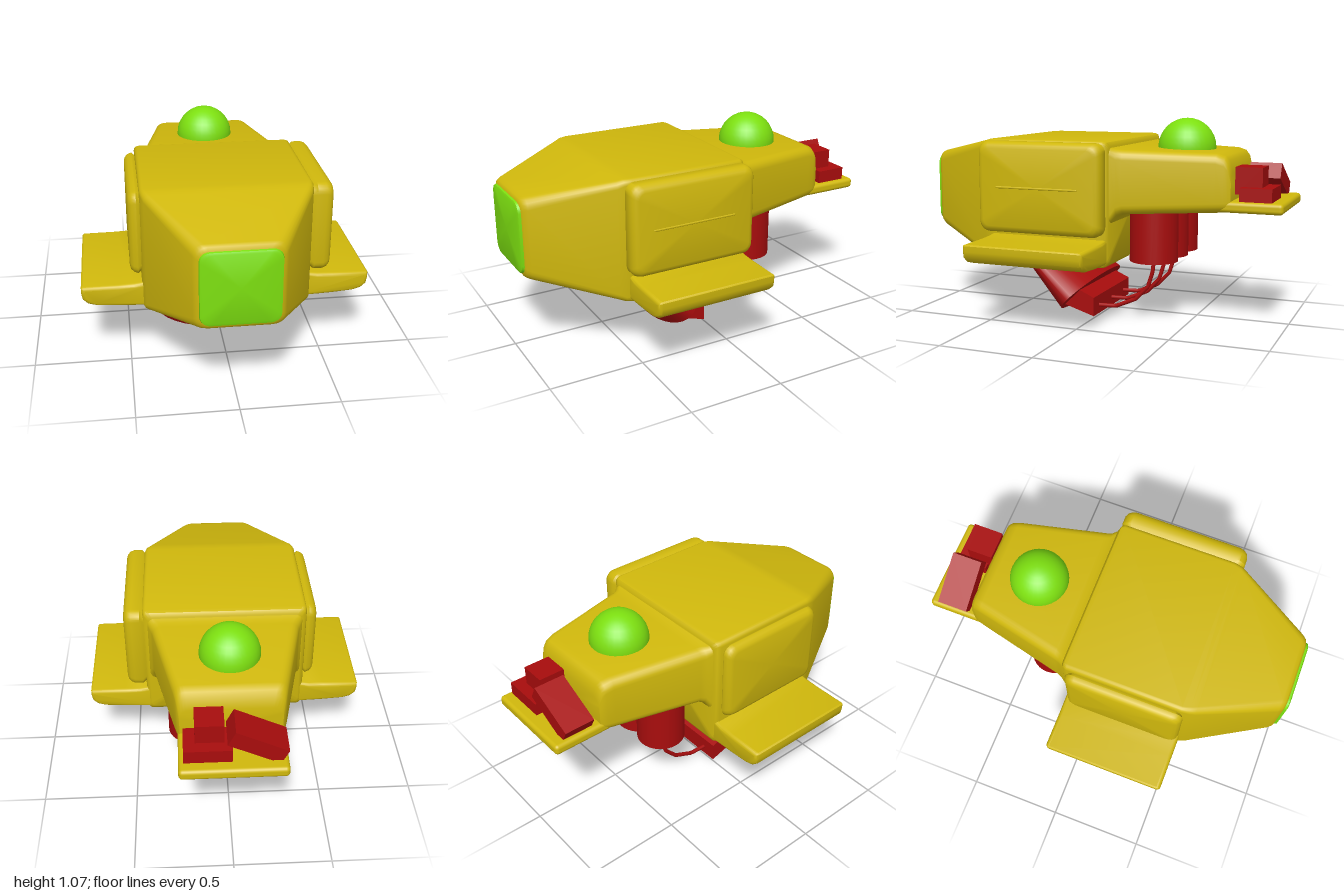
import * as THREE from 'three';
import { toCreasedNormals } from 'three/addons/utils/BufferGeometryUtils.js';
import { RoundedBoxGeometry } from 'three/addons/geometries/RoundedBoxGeometry.js';

const paint = (color) => new THREE.MeshStandardMaterial({ color, side: THREE.DoubleSide });

// Closed hull through rounded-rectangle sections [z, halfWidth, yBottom, yTop, cornerRadius], front to back
function loft(sections, crease = 0.75) {
  const steps = 5, n = 4 * (steps + 1), pos = [], idx = [];
  for (const [z, w, y0, y1, r] of sections) {
    const corners = [[w - r, y1 - r], [r - w, y1 - r], [r - w, y0 + r], [w - r, y0 + r]];
    corners.forEach(([cx, cy], q) => {
      for (let i = 0; i <= steps; i++) {
        const a = (q + i / steps) * Math.PI / 2;
        pos.push(cx + r * Math.cos(a), cy + r * Math.sin(a), z);
      }
    });
  }
  for (let k = 0; k < sections.length - 1; k++) {
    for (let i = 0; i < n; i++) {
      const a = k * n + i, b = k * n + (i + 1) % n;
      idx.push(a, a + n, b, b, a + n, b + n);
    }
  }
  // End caps
  const last = (sections.length - 1) * n, count = sections.length * n;
  for (const s of [sections[0], sections[sections.length - 1]]) pos.push(0, (s[2] + s[3]) / 2, s[0]);
  for (let i = 0; i < n; i++) {
    const j = (i + 1) % n;
    idx.push(count, i, j, count + 1, last + j, last + i);
  }
  const g = new THREE.BufferGeometry();
  g.setAttribute('position', new THREE.Float32BufferAttribute(pos, 3));
  g.setIndex(idx);
  return toCreasedNormals(g, crease);
}

function extrude(points, depth, bevel) {
  const g = new THREE.ExtrudeGeometry(new THREE.Shape(points.map(([x, y]) => new THREE.Vector2(x, y))), {
    depth: depth - 2 * bevel, bevelEnabled: bevel > 0, bevelSize: bevel, bevelOffset: -bevel,
    bevelThickness: bevel, bevelSegments: 4,
  });
  return g.translate(0, 0, bevel);
}

export function createModel() {
  const model = new THREE.Group();
  const yellow = paint(0xd0b80c), red = paint(0xa80d0d), green = paint(0x7de010);
  const add = (name, geometry, material, x = 0, y = 0, z = 0) => {
    const m = new THREE.Mesh(geometry, material);
    m.name = name;
    m.position.set(x, y, z);
    model.add(m);
    return m;
  };

  // Main hull with tapered nose
  add('hull', loft([
    [0.985, 0.185, 0.475, 0.86, 0.05],
    [0.975, 0.205, 0.46, 0.875, 0.055],
    [0.955, 0.22, 0.45, 0.882, 0.055],
    [0.57, 0.412, 0.334, 0.962, 0.035],
    [0.54, 0.423, 0.324, 0.97, 0.03],
    [0.5, 0.43, 0.32, 0.972, 0.025],
    [-0.11, 0.43, 0.32, 0.972, 0.025],
    [-0.13, 0.423, 0.328, 0.966, 0.025],
    [-0.142, 0.405, 0.35, 0.945, 0.025],
  ]), yellow);

  // Tail section, flared where it meets the hull
  add('tail', loft([
    [-0.12, 0.41, 0.53, 0.945, 0.03],
    [-0.15, 0.402, 0.56, 0.935, 0.04],
    [-0.17, 0.39, 0.585, 0.93, 0.05],
    [-0.2, 0.38, 0.595, 0.927, 0.05],
    [-0.66, 0.277, 0.614, 0.915, 0.05],
    [-0.7, 0.267, 0.616, 0.903, 0.05],
    [-0.72, 0.26, 0.617, 0.88, 0.05],
    [-0.735, 0.25, 0.62, 0.82, 0.05],
  ]), yellow);
  add('tailShelf', new RoundedBoxGeometry(0.52, 0.056, 0.33, 4, 0.02), yellow, 0, 0.648, -0.835);

  // Nose window and roof dome
  add('noseWindow', loft([
    [1.0, 0.175, 0.495, 0.845, 0.045],
    [0.995, 0.19, 0.482, 0.855, 0.05],
    [0.97, 0.195, 0.475, 0.86, 0.05],
  ]), green);
  add('roofDome', new THREE.SphereGeometry(0.155, 32, 16), green, -0.008, 0.925, -0.43);

  // Side panels; the left one is larger and has a slit
  for (const [name, side, out, z0, z1, y0, y1] of [
    ['leftPanel', 1, 0.53, -0.14, 0.55, 0.49, 0.965],
    ['rightPanel', -1, 0.487, -0.11, 0.52, 0.505, 0.95],
  ]) {
    const w = (z1 - z0) / 2, h = (y1 - y0) / 2, root = 0.4;
    const g = loft([
      [out, w - 0.035, -h + 0.035, h - 0.035, 0.035],
      [out - 0.006, w - 0.018, -h + 0.018, h - 0.018, 0.045],
      [out - 0.02, w - 0.006, -h + 0.006, h - 0.006, 0.05],
      [out - 0.04, w, -h, h, 0.05],
      [0.445, w, -h, h, 0.05],
      [0.43, w - 0.012, -h + 0.012, h - 0.012, 0.045],
      [root, w - 0.02, -h + 0.02, h - 0.02, 0.04],
    ]);
    add(name, g, yellow, 0, (y0 + y1) / 2, (z0 + z1) / 2).rotation.y = side * Math.PI / 2;
  }
  add('panelSlit', new RoundedBoxGeometry(0.012, 0.012, 0.46, 2, 0.005), yellow, 0.527, 0.73, 0.21);

  // Stub wings with rounded tips
  const wing = [[0.38, 0.335], [0.55, 0.342], [0.66, 0.35], [0.705, 0.363], [0.732, 0.388], [0.738, 0.42],
    [0.738, 0.45], [0.73, 0.457], [0.55, 0.459], [0.47, 0.463], [0.38, 0.475]];
  for (const [name, side] of [['leftWing', 1], ['rightWing', -1]]) {
    const pts = wing.map(([x, y]) => [side * x, y]);
    add(name, toCreasedNormals(extrude(pts, 0.66, 0.02), 0.7), yellow, 0, 0, -0.135);
  }

  // Wide flattened thruster angled down and back, thinner toward the hull
  const bell = new THREE.CylinderGeometry(0.35, 0.35, 0.45, 32);
  const p = bell.attributes.position;
  for (let i = 0; i < p.count; i++) p.setZ(i, p.getZ(i) * (p.getY(i) > 0 ? 0.15 : 0.43));
  bell.computeVertexNormals();
  add('thruster', bell, red, 0, 0.115 + 0.225 * Math.SQRT1_2, 0.123 + 0.225 * Math.SQRT1_2).rotation.x = Math.PI / 4;

  // Manifold block across the thruster mouth
  const block = extrude([[-0.17, 0.07], [0, 0.018], [0, 0.12], [-0.09, 0.16]], 0.535, 0);
  add('manifold', block.rotateY(Math.PI / 2), red, -0.2675, 0, 0);

  // Three fuel tanks, each with a bent pipe to the manifold
  for (const x of [0.185, 0, -0.185]) {
    add('fuelTank', new THREE.CylinderGeometry(0.128, 0.128, 0.29, 32), red, x, 0.48, -0.312);
    const path = new THREE.CurvePath();
    const bends = [[0.36, -0.315], [0.27, -0.305], [0.19, -0.28], [0.115, -0.21], [0.065, -0.095], [0.062, 0.02]]
      .map(([y, z]) => new THREE.Vector3(x, y, z));
    for (let i = 1; i < bends.length; i++) path.add(new THREE.LineCurve3(bends[i - 1], bends[i]));
    add('fuelPipe', new THREE.TubeGeometry(path, 30, 0.011, 8), red);
  }

  // Equipment boxes on the tail shelf
  add('tailBaseBox', new THREE.BoxGeometry(0.23, 0.07, 0.165), red, 0.12, 0.71, -0.857);
  add('tailTopBox', new THREE.BoxGeometry(0.14, 0.14, 0.14), red, 0.11, 0.775, -0.81);
  add('tailTiltedBox', new THREE.BoxGeometry(0.28, 0.085, 0.165), red, -0.115, 0.755, -0.857).rotation.z = 0.46;

  return model;
}
